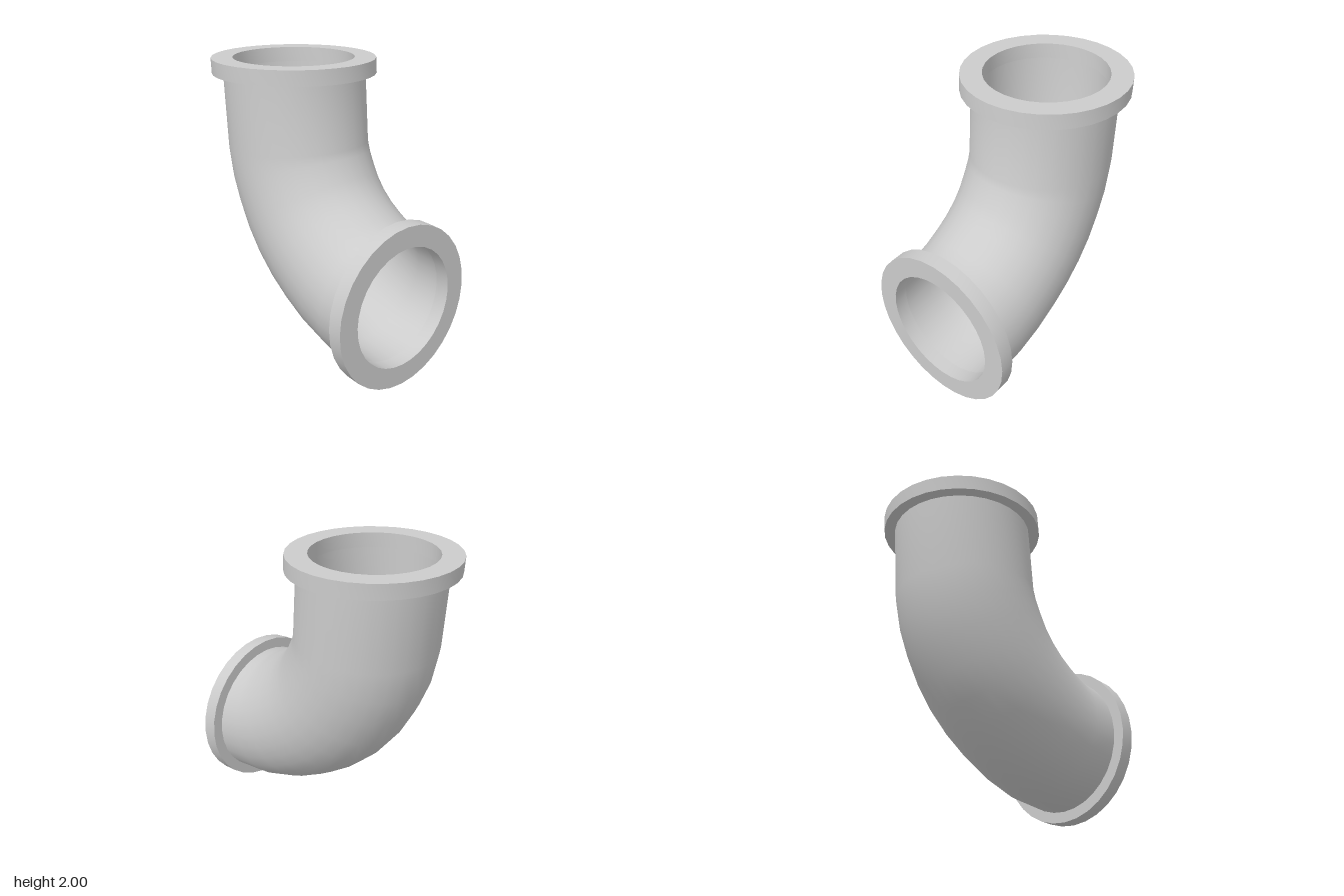
import * as THREE from 'three';
import { toCreasedNormals } from 'three/addons/utils/BufferGeometryUtils.js';

const SIDES = 32, PIPE_R = 0.477, BORE_R = 0.408, FLANGE_R = 0.551;

// Centre line of the bend: [x, y, tilt of the section in degrees]
const topEnd = [-0.275, 2, 0], sideEnd = [0.822, 0.551, 90];
const path = [
  [-0.268, 1.9, 0], [-0.23, 1.415, 4.5], [-0.195, 1.275, 16], [-0.14, 1.15, 25],
  [-0.065, 1.015, 34], [0.023, 0.902, 42.5], [0.135, 0.798, 50.5], [0.255, 0.715, 58],
  [0.393, 0.638, 66.5], [0.55, 0.58, 79], [0.725, 0.557, 90],
];
const topInner = path[0], sideInner = path[path.length - 1];

// Skin circular sections, each [station, radius]; order sets which way faces look
function skin(sections) {
  const pos = [], index = [];
  for (const [[x, y, tilt], r] of sections) {
    const t = THREE.MathUtils.degToRad(tilt);
    for (let i = 0; i < SIDES; i++) {
      const a = (i / SIDES) * Math.PI * 2, u = r * Math.cos(a);
      pos.push(x + u * Math.cos(t), y + u * Math.sin(t), r * Math.sin(a));
    }
  }
  for (let k = 0; k < sections.length - 1; k++) {
    for (let i = 0; i < SIDES; i++) {
      const j = (i + 1) % SIDES;
      const a = k * SIDES + i, b = k * SIDES + j, c = a + SIDES, d = b + SIDES;
      index.push(a, b, c, b, d, c);
    }
  }
  const g = new THREE.BufferGeometry();
  g.setAttribute('position', new THREE.Float32BufferAttribute(pos, 3));
  g.setIndex(index);
  return toCreasedNormals(g, Math.PI / 5);
}

// Square-edged ring between two stations
const ring = (a, b) => skin([[a, FLANGE_R], [b, FLANGE_R], [b, BORE_R], [a, BORE_R], [a, FLANGE_R]]);

export function createModel() {
  const group = new THREE.Group();
  group.name = 'pipeElbow';
  const material = new THREE.MeshStandardMaterial({ color: 0xcccccc });
  const add = (name, geometry) => {
    const mesh = new THREE.Mesh(geometry, material);
    mesh.name = name;
    group.add(mesh);
  };

  // Curved pipe: outside wall, and bore run the other way so it faces inward
  add('pipeWall', skin(path.map((s) => [s, PIPE_R])));
  add('pipeBore', skin([...path].reverse().map((s) => [s, BORE_R])));

  // Flanges at both mouths
  add('topFlange', ring(topEnd, topInner));
  add('sideFlange', ring(sideInner, sideEnd));
  return group;
}
